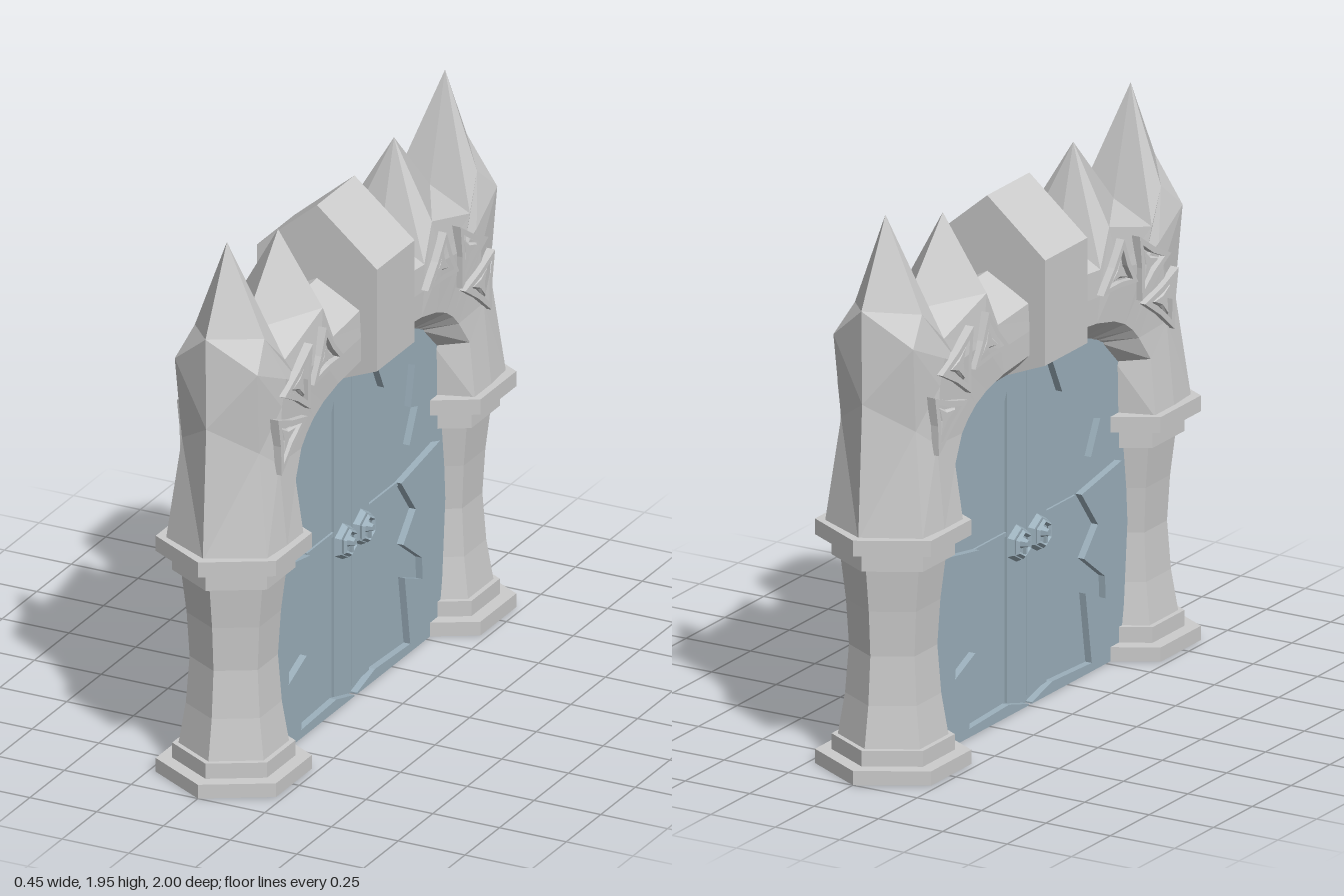
import * as THREE from 'three';

const stone = new THREE.MeshStandardMaterial({ color: 0xcccccc, flatShading: true });
const ice = new THREE.MeshStandardMaterial({ color: 0x9cb0bc, flatShading: true });

function add(parent, name, geometry, material) {
  const mesh = new THREE.Mesh(geometry, material);
  mesh.name = name;
  parent.add(mesh);
  return mesh;
}

const shapeOf = (points) => new THREE.Shape(points.map(([u, v]) => new THREE.Vector2(u, v)));

// Extrude an outline of [z, y] points along x, from x0 to x1
function slab(points, x0, x1, hole, bevel = 0) {
  const shape = shapeOf(points);
  if (hole) shape.holes.push(shapeOf(hole));
  const g = new THREE.ExtrudeGeometry(shape, {
    depth: x1 - x0 - 2 * bevel, bevelEnabled: bevel > 0, bevelSize: bevel, bevelThickness: bevel,
    bevelOffset: -bevel, bevelSegments: 1,
  });
  g.rotateY(-Math.PI / 2);
  g.translate(x1 - bevel, 0, 0);
  return g;
}

// Arch stations: inner lip, inner edge, shoulder, outer edge, ridge, each [x, z, y]
const STATIONS = [
  [[.07, .575, .85], [.2, .62, .85], [.2, .74, .85], [.19, .865, .85], [0, .965, .85]],
  [[.07, .57, 1.04], [.175, .63, 1.05], [.17, .74, 1.15], [.145, .835, 1.22], [0, .94, 1.32]],
  [[.07, .47, 1.135], [.165, .57, 1.14], [.17, .72, 1.35], [.155, .868, 1.52], [0, .945, 1.65]],
  [[.07, .44, 1.15], [.165, .53, 1.18], [.17, .69, 1.44], [.13, .77, 1.61], [0, .79, 1.945]],
  [[.07, .4, 1.165], [.165, .48, 1.215], [.17, .6, 1.4], [.155, .67, 1.5], [0, .68, 1.57]],
  [[.07, .34, 1.185], [.165, .41, 1.245], [.17, .44, 1.42], [.155, .395, 1.58], [0, .42, 1.845]],
  [[.07, .3, 1.19], [.165, .3, 1.27], [.165, .32, 1.36], [.16, .33, 1.45], [0, .33, 1.54]],
  [[.07, 0, 1.2], [.165, 0, 1.3], [.165, 0, 1.38], [.16, 0, 1.48], [0, 0, 1.565]],
];

function archGeometry() {
  const half = STATIONS.map((s) => [...s, ...s.slice(0, 4).reverse().map(([x, z, y]) => [-x, z, y])]);
  const other = half.slice(0, -1).reverse().map((r) => r.map(([x, z, y]) => [x, -z, y]));
  const rings = [...half, ...other];
  const pos = [];
  const put = (...pts) => pts.forEach(([x, z, y]) => pos.push(x, y, z));
  for (let i = 0; i < rings.length - 1; i++) {
    const a = rings[i], b = rings[i + 1], n = a.length;
    for (let j = 0; j < n; j++) {
      const k = (j + 1) % n;
      // mirror the diagonals so both sides and both ends match
      if ((j < n / 2 - 1) === (i < half.length - 1)) {
        put(a[j], b[j], a[k]);
        put(b[j], b[k], a[k]);
      } else {
        put(a[j], b[j], b[k]);
        put(a[j], b[k], a[k]);
      }
    }
  }
  const g = new THREE.BufferGeometry();
  g.setAttribute('position', new THREE.Float32BufferAttribute(pos, 3));
  g.computeVertexNormals();
  return g;
}

// Six-sided pillar profile [radius, y], hollow below
const PILLAR = [
  [0, .1], [.18, .1], [.205, 0], [.26, 0], [.26, .05], [.205, .05], [.205, .105], [.184, .105],
  [.16, .25], [.147, .42], [.157, .58], [.176, .735], [.205, .735], [.205, .805],
  [.26, .805], [.26, .86], [0, .86],
];

// Triangle with sides pulled towards its centre
function star(tri, scale, pull) {
  const c = [0, 1].map((k) => (tri[0][k] + tri[1][k] + tri[2][k]) / 3);
  const out = [];
  tri.forEach((p, i) => {
    const q = tri[(i + 1) % 3];
    const mid = [0, 1].map((k) => (p[k] + q[k]) / 2);
    out.push(c.map((v, k) => v + (p[k] - v) * scale));
    out.push(c.map((v, k) => v + (mid[k] - v) * scale * pull));
  });
  return out;
}
const TRIANGLES = [
  [[.785, 1.33], [.57, 1.262], [.76, 1.12]],
  [[.737, 1.395], [.535, 1.51], [.55, 1.28]],
  [[.525, 1.355], [.435, 1.53], [.30, 1.37]],
];

// Jagged inner edge and smooth outer edge of the ice around the doors
const JAGGED = [
  [.14, 1.17], [.205, 1.04], [.355, 1.065], [.43, 1.035], [.40, .89], [.45, .875], [.39, .755],
  [.6, .685], [.33, .64], [.435, .505], [.345, .41], [.48, .31], [.485, .23], [.355, .285],
  [.395, .03], [.14, .04], [.01, .005],
];
const OUTER = [[.01, 0], [.6, 0], [.64, .5], [.61, 1.05], [.5, 1.17], [.36, 1.215], [.14, 1.23]];

export function createModel() {
  const model = new THREE.Group();
  model.name = 'archedGate';

  add(model, 'arch', archGeometry(), stone);

  const keyOutline = shapeOf([[0, 1.17], [.225, 1.26], [.225, 1.63], [0, 1.82], [-.225, 1.63], [-.225, 1.26]]);
  const key = new THREE.ExtrudeGeometry(keyOutline, { depth: .272, bevelEnabled: false });
  add(model, 'keystone', key.translate(0, 0, -.134), stone);

  // Pillars and triangular ornaments
  for (const s of [1, -1]) {
    const pillar = new THREE.LatheGeometry(PILLAR.map(([r, y]) => new THREE.Vector2(r, y)), 6);
    add(model, s > 0 ? 'frontPillar' : 'backPillar', pillar.translate(0, 0, s * .74), stone);

    for (const tri of TRIANGLES) {
      const t = tri.map(([z, y]) => [z * s, y]);
      for (const side of [1, -1]) {
        const place = (name, pts, depth, hole, bevel) => add(model, name,
          side > 0 ? slab(pts, .14, depth, hole, bevel) : slab(pts, -depth, -.14, hole, bevel), stone);
        place('ornamentFrame', star(t, 1, .9), .19, star(t, .68, .85));
        place('ornamentCentre', star(t, .54, .75), .183, null, .008);
      }
    }
  }

  // Double door with its ice border
  const door = new THREE.Group();
  door.name = 'door';
  model.add(door);
  const panel = [...OUTER.slice(1), ...OUTER.slice(1).reverse().map(([z, y]) => [-z, y])];
  add(door, 'doorPanel', slab(panel, -.055, .055), ice);
  for (const s of [1, -1]) {
    const edge = [...JAGGED, ...OUTER].map(([z, y]) => [z * s + (z < .6 ? .012 : 0), y]);
    add(door, 'iceBorder', slab(edge, -.08, .08), ice);
    const z0 = .012 + s * .001, z1 = .012 + s * .127;
    add(door, 'centrePlank', slab([[z0, .03], [z1, .04], [z1, 1.21], [z0, 1.21]], -.065, .065), ice);
    add(door, 'crossBar', slab([[z1, .625], [z1, .64], [s * .33, .64], [s * .33, .625]], -.063, .063), ice);

    // Hexagonal handles on both faces
    for (const side of [1, -1]) {
      const handle = new THREE.Group();
      handle.name = 'handle';
      handle.position.set(side * .065, .585, .012 + s * .066);
      handle.rotation.y = side * Math.PI / 2;
      door.add(handle);
      const plate = new THREE.CylinderGeometry(.055, .066, .02, 6).rotateX(Math.PI / 2).translate(0, 0, .01);
      add(handle, 'handlePlate', plate, ice);
      const ring = new THREE.TorusGeometry(.042, .01, 4, 6).rotateZ(Math.PI / 6).translate(0, 0, .026);
      add(handle, 'handleRing', ring, ice);
      const knob = new THREE.CylinderGeometry(.012, .022, .03, 6).rotateX(Math.PI / 2).translate(0, .006, .033);
      add(handle, 'handleKnob', knob, ice);
      add(handle, 'handleDrop', new THREE.BoxGeometry(.01, .036, .012).translate(0, -.014, .034), ice);
    }
  }
  return model;
}
